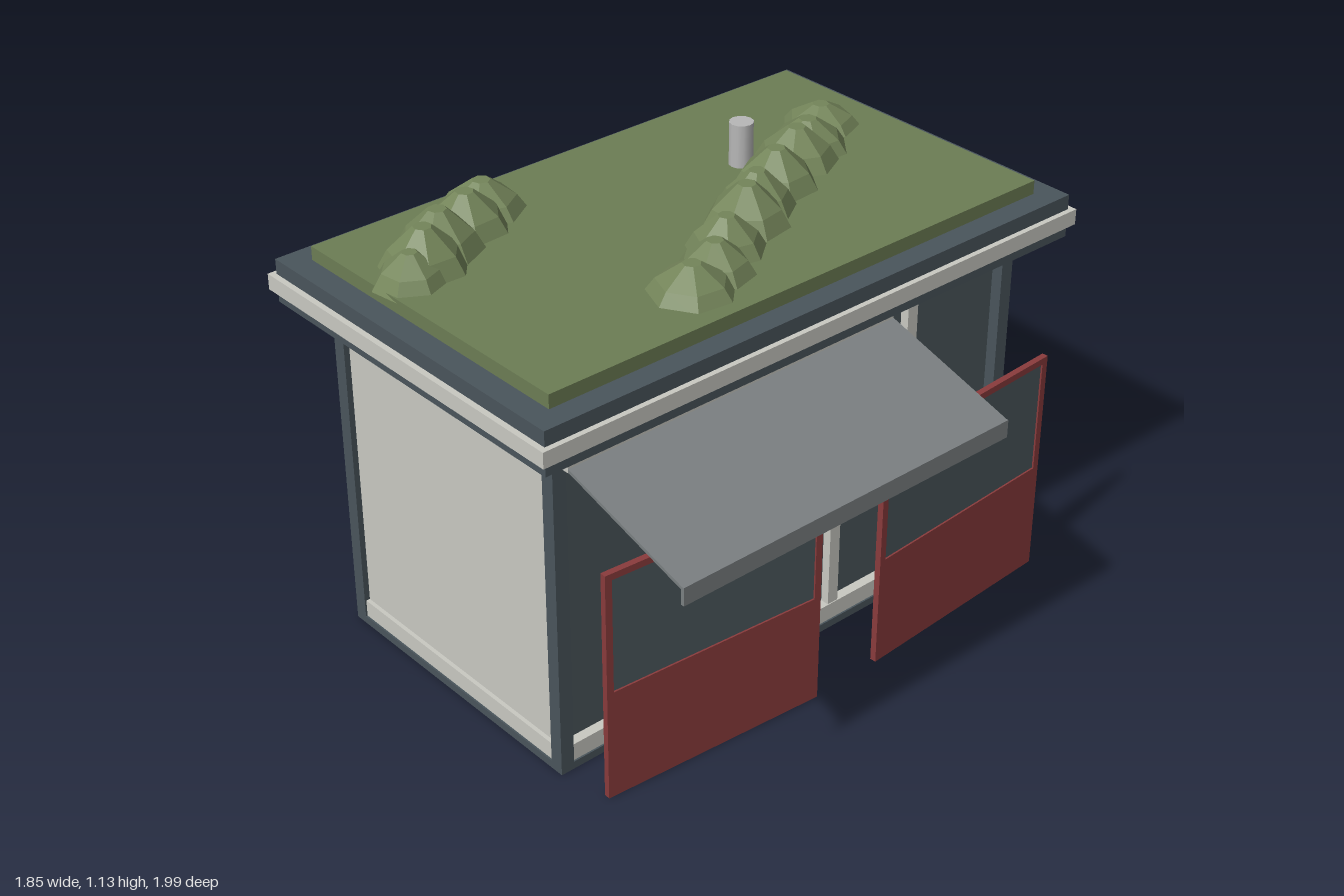
import * as THREE from 'three';

const mat = (name, color) => {
  const m = new THREE.MeshStandardMaterial({ color });
  m.name = name;
  return m;
};

export function createModel() {
  const light = mat('pale cladding', 0xc9c9c2);
  const dark = mat('slate frame', 0x4a555c);
  const glass = mat('dark glass', 0x4b575c);
  const red = mat('red screen', 0x8a3b3c);
  const green = mat('roof grass', 0x6c7d54);
  const canvas = mat('grey awning', 0x7b8082);
  const steel = mat('flue steel', 0xb8b8b8);
  const bush = mat('shrub green', 0x74855a);
  bush.flatShading = true;

  const model = new THREE.Group();
  model.name = 'gardenPavilion';
  const house = new THREE.Group();
  house.name = 'house';
  house.rotation.y = Math.PI / 4;
  house.position.z = -0.07;
  model.add(house);

  const add = (parent, name, geo, material, x, y, z) => {
    const m = new THREE.Mesh(geo, material);
    m.name = name;
    m.position.set(x, y, z);
    parent.add(m);
    return m;
  };
  // box given by its centre in x and z, and its bottom and top in y
  const box = (parent, name, material, w, y0, y1, d, x = 0, z = 0) =>
    add(parent, name, new THREE.BoxGeometry(w, y1 - y0, d), material, x, (y0 + y1) / 2, z);

  // floor, glazed core and corner posts
  const HU = 0.709, HV = 0.398;
  box(house, 'floor', dark, HU * 2, 0, 0.02, HV * 2);
  box(house, 'glassCore', glass, HU * 2 - 0.06, 0.02, 0.88, HV * 2 - 0.06);
  for (const sx of [-1, 1]) for (const sz of [-1, 1])
    box(house, 'cornerPost', dark, 0.036, 0.02, 0.88, 0.036, sx * (HU - 0.018), sz * (HV - 0.018));

  // walls: rails top and bottom, mullions, and cladding where solid
  const wall = (name, angle, offset, length, mullions, solid) => {
    const g = new THREE.Group();
    g.name = name;
    g.rotation.y = angle;
    house.add(g);
    const w = length - 0.07;
    box(g, 'bottomRail', light, w, 0.02, 0.065, 0.035, 0, offset - 0.022);
    box(g, 'topRail', light, w, 0.82, 0.88, 0.035, 0, offset - 0.022);
    for (const x of mullions)
      box(g, 'mullion', light, 0.032, 0.065, 0.82, 0.03, x, offset - 0.022);
    if (solid) box(g, 'cladding', light, w, 0.065, 0.82, 0.02, 0, offset - 0.025);
  };
  wall('frontWall', 0, HV, HU * 2, [-0.35, -0.095, 0.145, 0.375], false);
  wall('rightWall', Math.PI / 2, HU, HV * 2, [0], false);
  wall('backWall', Math.PI, HV, HU * 2, [-0.23, 0.23], true);
  wall('leftWall', -Math.PI / 2, HU, HV * 2, [], true);

  // door rail and pull handle
  box(house, 'doorRail', light, 0.2, 0.39, 0.41, 0.012, 0.035, HV + 0.01);
  box(house, 'doorHandle', light, 0.016, 0.35, 0.46, 0.016, 0.1, HV + 0.02);

  // layered roof
  box(house, 'roofFascia', dark, 1.585, 0.88, 0.99, 0.968);
  box(house, 'roofTrim', light, 1.615, 0.912, 0.952, 0.995);
  box(house, 'grassRoof', green, 1.465, 0.99, 1.025, 0.85);
  add(house, 'flue', new THREE.CylinderGeometry(0.03, 0.03, 0.12, 12), steel, 0.276, 1.075, -0.1);

  // awning: housing, sloping sheet and valance
  box(house, 'awningHousing', light, 0.955, 0.83, 0.868, 0.045, -0.224, HV + 0.022);
  const sheet = add(house, 'awningSheet', new THREE.BoxGeometry(0.955, 0.008, 0.388), canvas, -0.224, 0.785, 0.615);
  sheet.rotation.x = Math.atan2(0.11, 0.37);
  box(house, 'awningValance', canvas, 0.955, 0.69, 0.735, 0.008, -0.224, 0.799);

  // free-standing screens with a glazed upper half
  const screen = (name, x, z, w, angle) => {
    const g = new THREE.Group();
    g.name = name;
    g.position.set(x, 0, z);
    g.rotation.y = angle;
    house.add(g);
    box(g, 'screenPanel', red, w, 0, 0.29, 0.016);
    box(g, 'screenTop', red, w, 0.588, 0.605, 0.016);
    for (const s of [-1, 1])
      box(g, 'screenStile', red, 0.018, 0.29, 0.588, 0.016, s * (w / 2 - 0.009));
    box(g, 'screenGlass', glass, w - 0.036, 0.29, 0.588, 0.007);
  };
  screen('leftScreen', -0.38, 0.543, 0.6, -0.075);
  screen('rightScreen', 0.41, 0.544, 0.59, 0.06);

  // two rows of low faceted shrubs: x, z, height, radius
  const shrubs = [
    [-0.46, -0.06, 0.075, 0.11], [-0.485, 0.03, 0.09, 0.11], [-0.53, 0.14, 0.1, 0.11],
    [-0.55, 0.225, 0.1, 0.11], [-0.57, 0.29, 0.07, 0.09],
    [0.045, 0.3, 0.07, 0.11], [0.09, 0.21, 0.08, 0.1], [0.11, 0.1, 0.085, 0.1],
    [0.15, -0.03, 0.1, 0.11], [0.17, -0.11, 0.095, 0.1], [0.21, -0.23, 0.095, 0.11],
    [0.255, -0.36, 0.09, 0.11], [0.28, -0.44, 0.075, 0.11], [0.31, -0.57, 0.055, 0.105],
  ];
  shrubs.forEach(([x, z, h, r], i) => {
    const profile = [[r, -0.01], [r * 0.74, h * 0.42], [r * 0.2, h], [0, h]]
      .map(([a, b]) => new THREE.Vector2(a, b));
    add(model, 'shrub', new THREE.LatheGeometry(profile, 7), bush, x, 1.025, z).rotation.y = i * 0.4;
  });
  return model;
}
